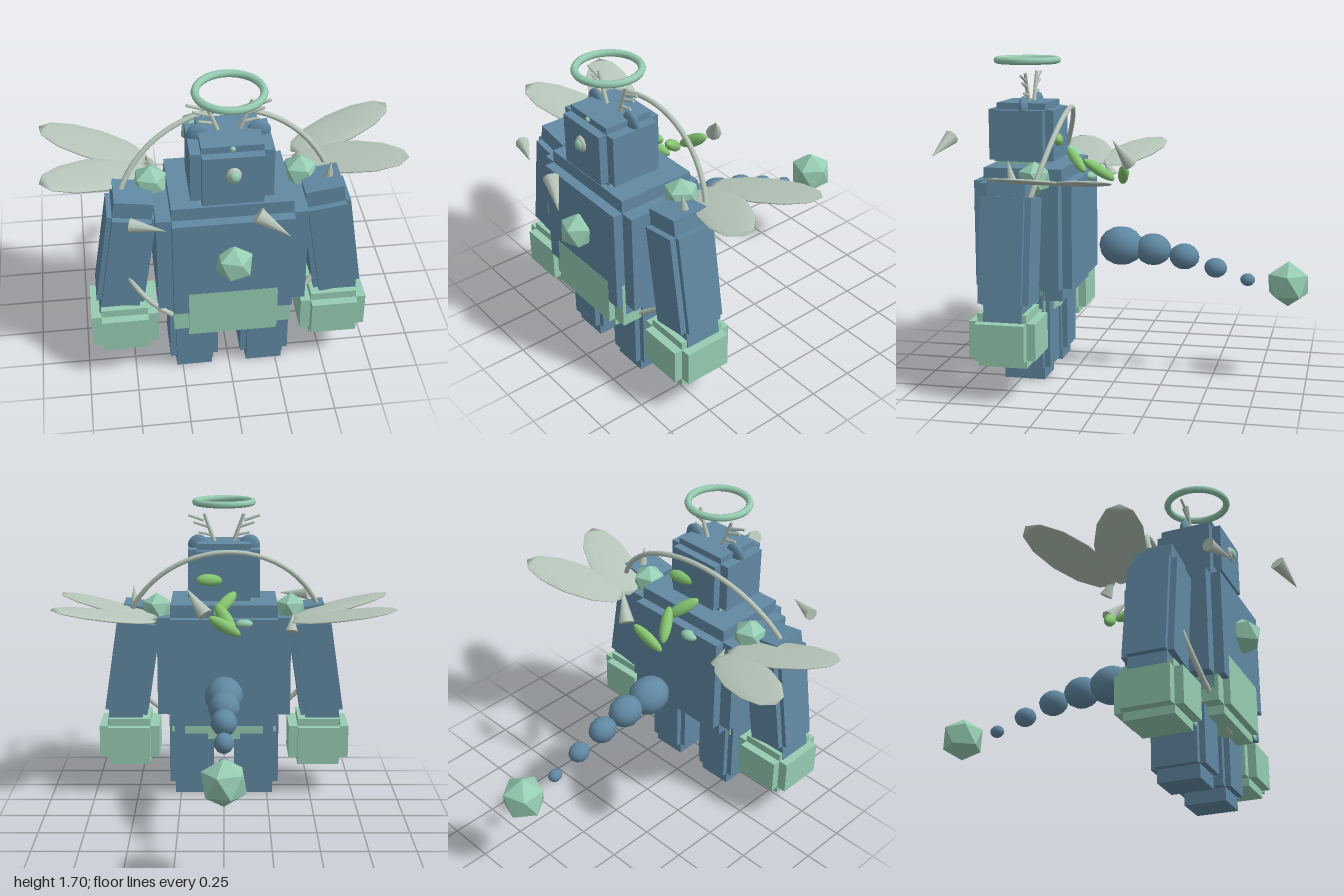
import * as THREE from 'three';

const paint = (name, color, flatShading = false) => {
  const m = new THREE.MeshStandardMaterial({ color, flatShading });
  m.name = name;
  return m;
};
const V = (p) => new THREE.Vector3(...p);
const UP = new THREE.Vector3(0, 1, 0);

export function createModel() {
  const model = new THREE.Group();
  const blue = paint('slate blue', 0x6189a3);
  const mint = paint('mint', 0x96cdb2);
  const bone = paint('pale bone', 0xb7c6ba);
  const leafGreen = paint('leaf green', 0x87c873);

  const add = (parent, name, geo, mat, p = [0, 0, 0]) => {
    const m = new THREE.Mesh(geo, mat);
    m.name = name;
    m.position.set(...p);
    parent.add(m);
    return m;
  };

  // Stepped block: three crossed boxes, each full length along one axis
  const block = (name, mat, center, full, inner) => {
    const g = new THREE.Group();
    g.name = name;
    g.position.set(...center);
    for (let i = 0; i < 3; i++) {
      const s = inner.map((v, k) => (k === i ? full[k] : v));
      add(g, name + 'Block', new THREE.BoxGeometry(...s), mat);
    }
    model.add(g);
    return g;
  };

  // Ellipsoid with its long axis along a half-length vector
  const pod = (name, mat, center, half, width, thick, segs = 10) => {
    const h = V(half);
    const m = add(model, name, new THREE.SphereGeometry(1, segs, 8), mat, center);
    m.scale.set(width, h.length(), thick);
    m.quaternion.setFromUnitVectors(UP, h.normalize());
    return m;
  };

  // Cone or rod between two points
  const rod = (name, mat, a, b, r0, r1, segs = 8) => {
    const d = V(b).sub(V(a));
    const m = add(model, name, new THREE.CylinderGeometry(r1, r0, d.length(), segs), mat);
    m.position.copy(V(a).addScaledVector(d, 0.5));
    m.quaternion.setFromUnitVectors(UP, d.normalize());
    return m;
  };

  // Icosahedral gem standing on a vertex
  const gem = (name, r, p) => {
    const g = new THREE.IcosahedronGeometry(r, 0);
    g.rotateZ(Math.atan(2 / (1 + Math.sqrt(5))));
    g.rotateY(Math.PI);
    add(model, name, g, mint, p);
  };

  // Torso, belt, neck, head
  block('torso', blue, [0, 0.79, 0.475], [0.75, 0.7, 0.525], [0.6, 0.56, 0.42]);
  block('belt', mint, [0, 0.505, 0.533], [0.6, 0.35, 0.41], [0.45, 0.26, 0.34]);
  add(model, 'neck', new THREE.BoxGeometry(0.32, 0.06, 0.26), mint, [0, 1.14, 0.52]);
  block('head', blue, [0, 1.296, 0.522], [0.405, 0.34, 0.355], [0.3, 0.27, 0.265]);

  for (const s of [-1, 1]) {
    // Limbs
    block('leg', blue, [s * 0.187, 0.27, 0.48], [0.255, 0.54, 0.28], [0.19, 0.4, 0.22]);
    const arm = block('arm', blue, [s * 0.525, 0.755, 0.48], [0.245, 0.72, 0.265], [0.195, 0.54, 0.2]);
    arm.rotation.z = s * 0.15;
    block('hand', mint, [s * 0.547, 0.317, 0.485], [0.345, 0.275, 0.345], [0.24, 0.19, 0.255]);

    // Ears and antlers
    const ear = add(model, 'ear', new THREE.SphereGeometry(0.06, 16, 10), blue, [s * 0.145, 1.443, 0.505]);
    ear.scale.z = 0.4;
    rod('antler', bone, [s * 0.05, 1.45, 0.505], [s * 0.112, 1.62, 0.505], 0.012, 0.009);
    const prongs = [[0.065, 1.5, 0.145, 1.515], [0.085, 1.545, 0.172, 1.572], [0.115, 1.583, 0.202, 1.612]];
    for (const [x0, y0, x1, y1] of prongs)
      rod('antlerProng', bone, [s * x0, y0, 0.505], [s * x1, y1, 0.505], 0.009, 0.007, 6);

    gem('shoulderGem', 0.093, [s * 0.378, 1.097, 0.385]);

    // Paired thin wings, rising outwards
    for (const t of [-1, 1]) {
      const wing = new THREE.Group();
      wing.name = 'wing';
      wing.position.set(s * 0.645, 1.125, 0.203 + t * 0.135);
      wing.rotation.z = s * 0.19;
      const petal = add(wing, 'wingPetal', new THREE.SphereGeometry(1, 10, 6).rotateZ(Math.PI / 2), bone);
      petal.scale.set(0.305, 0.012, 0.137);
      petal.rotation.y = -s * t * 0.39;
      model.add(wing);
    }
  }

  // Halo and large tilted hoop
  add(model, 'halo', new THREE.TorusGeometry(0.162, 0.019, 8, 32).rotateX(Math.PI / 2), mint, [0, 1.685, 0.525]);
  const hoop = add(model, 'hoop', new THREE.TorusGeometry(0.576, 0.014, 8, 64), bone, [0, 0.885, 0.47]);
  hoop.quaternion.setFromUnitVectors(new THREE.Vector3(0, 0, 1), new THREE.Vector3(0.113, 0.325, 1).normalize());

  // Single eye and brow bead
  pod('eye', bone, [0, 1.33, 0.7], [0, 0.044, 0], 0.038, 0.025, 16);
  pod('pupil', mint, [0, 1.33, 0.715], [0, 0.03, 0], 0.026, 0.02, 16);
  add(model, 'browBead', new THREE.SphereGeometry(0.015, 8, 6), mint, [0, 1.45, 0.655]);

  // Chest and tail gems
  gem('chestGem', 0.1, [0, 0.835, 0.75]);
  gem('tailGem', 0.122, [0, 0.52, -0.893]);

  // Tail of shrinking beads
  const beads = [[0.69, 0.01, 0.105], [0.677, -0.165, 0.086], [0.645, -0.335, 0.07], [0.59, -0.505, 0.053], [0.533, -0.677, 0.034]];
  for (const [y, z, r] of beads)
    add(model, 'tailBead', new THREE.SphereGeometry(r, 12, 8), blue, [0, y, z]).scale.z = 1.17;

  // Spikes: base, tip, base radius
  const spikes = [
    [[0.08, 1.27, 0.935], [0.225, 1.18, 0.995], 0.042],
    [[-0.5, 1.115, 0.745], [-0.335, 1.11, 0.805], 0.036],
    [[0.1, 1.155, -0.055], [0.2, 1.285, 0.015], 0.042],
    [[0.51, 1.1, 0.465], [0.515, 1.21, 0.485], 0.027],
    [[-0.37, 1.02, 0.14], [-0.38, 1.11, 0.19], 0.035],
  ];
  for (const [a, b, r] of spikes) rod('spike', bone, a, b, r, 0.001);

  // Leaves and a bead trailing off the back
  const leaves = [
    [[-0.003, 1.08, 0], [0.085, 0.055, -0.02]],
    [[-0.005, 1.1, 0.135], [0.05, 0.06, 0.075]],
    [[-0.005, 1.15, 0.26], [-0.06, 0.055, 0.06]],
    [[0.08, 1.27, 0.34], [-0.075, -0.005, 0.02]],
  ];
  for (const [p, h] of leaves) pod('leaf', leafGreen, p, h, 0.035, 0.03);
  pod('backBead', mint, [-0.11, 1.05, 0.205], [0.05, 0, 0], 0.025, 0.035);
  return model;
}
